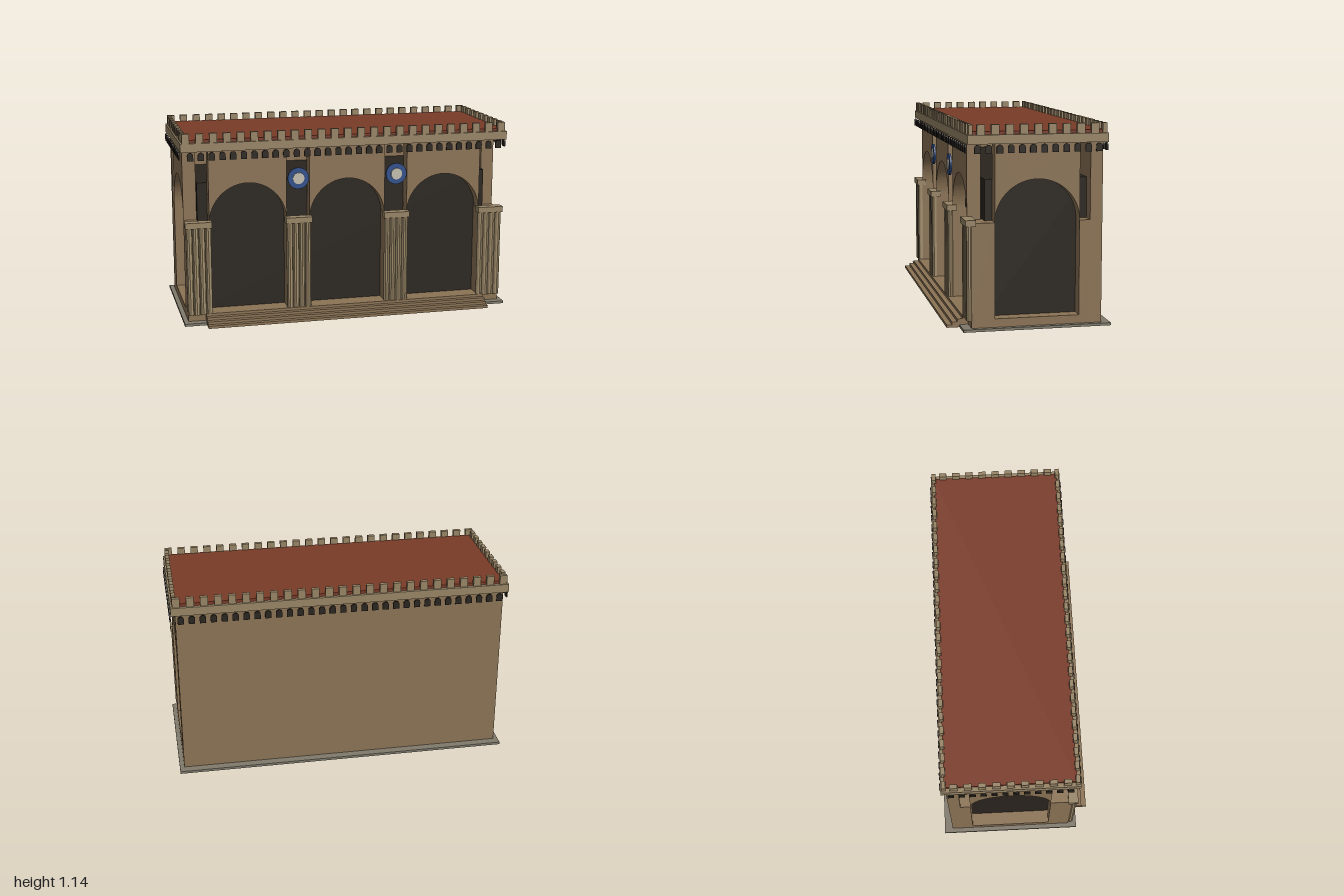
import * as THREE from 'three';

const mat = (color) => new THREE.MeshStandardMaterial({ color, flatShading: true });
const CZ = -0.035; // centre of the building in depth

export function createModel() {
  const model = new THREE.Group();
  const wall = mat(0x8b7355), trim = mat(0x978465), column = mat(0xa08d6c);
  const dark = mat(0x2a241e), red = mat(0x7a3b28), paving = mat(0x807a6c);
  const blue = mat(0x2f4f8a), pale = mat(0xc4beb0);

  const add = (name, geo, material, parent = model) => {
    const m = new THREE.Mesh(geo, material);
    m.name = name;
    parent.add(m);
    return m;
  };
  // Box given by its limits on each axis
  const box = (name, x0, x1, y0, y1, z0, z1, material, parent) => {
    const m = add(name, new THREE.BoxGeometry(x1 - x0, y1 - y0, z1 - z0), material, parent);
    m.position.set((x0 + x1) / 2, (y0 + y1) / 2, (z0 + z1) / 2);
    return m;
  };
  const group = (name) => {
    const g = new THREE.Group();
    g.name = name;
    model.add(g);
    return g;
  };

  // Ground slab, plinth and front steps
  box('groundSlab', -0.995, 0.995, 0, 0.015, -0.455, 0.385, paving);
  box('plinth', -0.968, 0.968, 0.015, 0.063, -0.405, 0.335, wall);
  const steps = group('frontSteps');
  for (let i = 0; i < 4; i++) {
    box('step', -0.865, 0.865, i * 0.016, (i + 1) * 0.016, 0.3, 0.457 - i * 0.03, wall, steps);
  }

  // Dark hall behind the arches, and the solid rear wall
  box('innerHall', -0.89, 0.89, 0.063, 0.83, -0.335, 0.247, dark);
  box('backWall', -0.968, 0.968, 0.063, 1.035, -0.405, -0.335, wall);

  // Wall panel above a round arch; its base is open
  const archPanel = (halfWidth, depth) => {
    const s = new THREE.Shape();
    s.moveTo(halfWidth, 0.6);
    s.lineTo(halfWidth, 1.035);
    s.lineTo(-halfWidth, 1.035);
    s.lineTo(-halfWidth, 0.6);
    s.absellipse(0, 0.6, halfWidth, 0.235, Math.PI, 0, true);
    return new THREE.ExtrudeGeometry(s, { depth, bevelEnabled: false, curveSegments: 20 });
  };
  for (const x of [-0.601, 0, 0.601]) {
    add('frontArch', archPanel(0.231, 0.078), wall).position.set(x, 0, 0.257);
  }
  for (const side of [-1, 1]) {
    const m = add('sideArch', archPanel(0.24, 0.078), wall);
    m.rotation.y = side * Math.PI / 2;
    m.position.set(side * 0.89, 0, CZ);
  }

  // Front piers with clustered columns and capitals
  for (const x of [-0.899, -0.301, 0.301, 0.899]) {
    const pier = group('frontPier');
    box('pierCore', x - 0.069, x + 0.069, 0.063, 0.6, 0.205, 0.335, wall, pier);
    for (let i = 0; i < 4; i++) {
      const c = add('column', new THREE.CylinderGeometry(0.018, 0.018, 0.53, 10), column, pier);
      c.position.set(x + (i - 1.5) * 0.0375, 0.322, 0.346);
    }
    box('capital', x - 0.079, x + 0.079, 0.583, 0.618, 0.311, 0.37, trim, pier);
  }
  // Rear corner piers
  for (const side of [-1, 1]) {
    const a = side * 0.83, b = side * 0.968;
    box('rearPier', Math.min(a, b), Math.max(a, b), 0.063, 0.6, -0.405, -0.275, wall);
  }

  // Round medallions between the front arches
  for (const x of [-0.3, 0.3]) {
    const medallion = group('medallion');
    const disc = (name, r, depth, z, material) => {
      const m = add(name, new THREE.CylinderGeometry(r, r, depth, 24), material, medallion);
      m.rotation.x = Math.PI / 2;
      m.position.set(x, 0.85, z);
    };
    disc('medallionRim', 0.064, 0.012, 0.341, blue);
    disc('medallionCentre', 0.034, 0.012, 0.347, pale);
  }

  // Cornice and roof
  box('cornice', -0.993, 0.993, 1.033, 1.083, -0.43, 0.36, trim);
  box('roof', -0.967, 0.967, 1.083, 1.1, -0.409, 0.339, red);

  // Battlements along all four edges
  const battlements = group('battlements');
  for (let i = -12; i <= 12; i++) {
    for (const z of [0.341, -0.411]) {
      box('merlon', i * 0.08 - 0.022, i * 0.08 + 0.022, 1.083, 1.138, z - 0.012, z + 0.012, trim, battlements);
    }
  }
  for (let i = -4; i <= 4; i++) {
    const z = CZ + i * 0.08;
    for (const x of [-0.972, 0.972]) {
      box('merlon', x - 0.012, x + 0.012, 1.083, 1.138, z - 0.022, z + 0.022, trim, battlements);
    }
  }

  // Row of small round-headed niches under the cornice
  const s = new THREE.Shape();
  s.moveTo(-0.018, 0.983);
  s.lineTo(0.018, 0.983);
  s.lineTo(0.018, 1.012);
  s.absarc(0, 1.012, 0.018, 0, Math.PI, false);
  const niche = new THREE.ExtrudeGeometry(s, { depth: 0.008, bevelEnabled: false, curveSegments: 6 });
  niche.translate(0, 0, -0.004);
  const niches = group('corniceNiches');
  for (let i = -15; i <= 15; i++) {
    for (const z of [0.364, -0.434]) add('niche', niche, dark, niches).position.set(i * 0.0625, 0, z);
  }
  for (let i = 0; i < 12; i++) {
    for (const x of [-0.996, 0.996]) {
      const m = add('niche', niche, dark, niches);
      m.rotation.y = Math.PI / 2;
      m.position.set(x, 0, CZ + (i - 5.5) * 0.062);
    }
  }
  return model;
}
